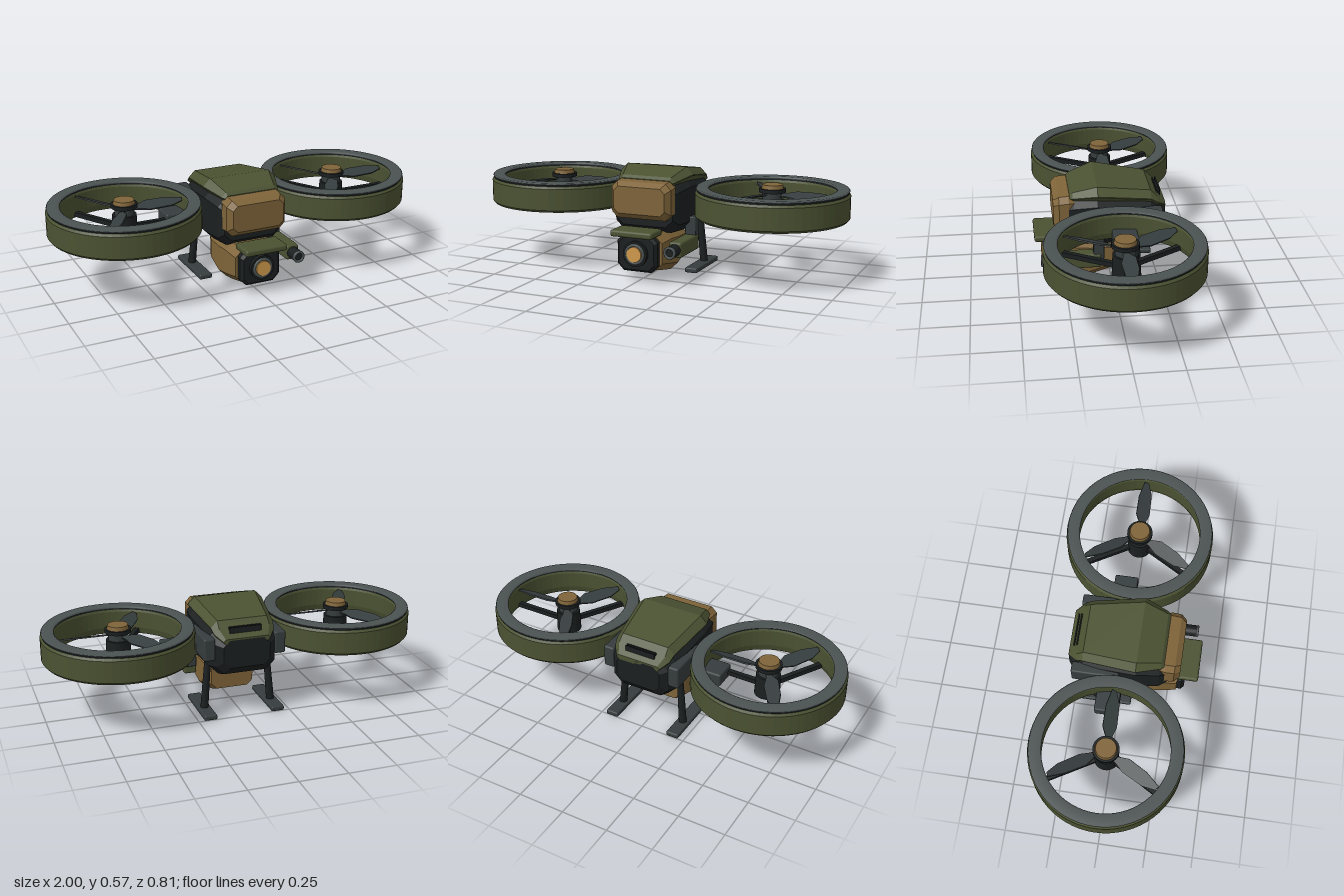
import * as THREE from 'three';
import { RoundedBoxGeometry } from 'three/addons/geometries/RoundedBoxGeometry.js';

const paint = (color, flatShading = false) => new THREE.MeshStandardMaterial({ color, flatShading });
const green = paint(0x4b5232), greenFlat = paint(0x4b5232, true);
const bronze = paint(0x7f6439), bronzeFlat = paint(0x7f6439, true);
const dark = paint(0x1b1f20), darkFlat = paint(0x1b1f20, true);
const grey = paint(0x363d3e), greyFlat = paint(0x363d3e, true);
const lipGrey = paint(0x4b5252), glass = paint(0xd09a4c);

function add(parent, name, geometry, material, x = 0, y = 0, z = 0) {
  const mesh = new THREE.Mesh(geometry, material);
  mesh.name = name;
  mesh.position.set(x, y, z);
  parent.add(mesh);
  return mesh;
}

const rounded = (w, h, d, r = 0.01) => new RoundedBoxGeometry(w, h, d, 2, r);

// Cylinder along z
const barrel = (r, length) => new THREE.CylinderGeometry(r, r, length, 32).rotateX(Math.PI / 2);

// Chamfered shell lofted along z from sections [z, halfWidth, bottom, top, chamfer], back to front
function loft(sections) {
  const pos = [], idx = [], n = 8;
  for (const [z, w, b, t, c] of sections) {
    const ring = [[w - c, b], [w, b + c], [w, t - c], [w - c, t], [c - w, t], [-w, t - c], [-w, b + c], [c - w, b]];
    for (const [x, y] of ring) pos.push(x, y, z);
  }
  const last = (sections.length - 1) * n;
  for (let s = 0; s < last; s += n) {
    for (let i = 0; i < n; i++) {
      const j = (i + 1) % n;
      idx.push(s + i, s + j, s + n + i, s + j, s + n + j, s + n + i);
    }
  }
  for (let i = 1; i < n - 1; i++) idx.push(0, i + 1, i, last, last + i, last + i + 1);
  const indexed = new THREE.BufferGeometry();
  indexed.setAttribute('position', new THREE.Float32BufferAttribute(pos, 3));
  indexed.setIndex(idx);
  const g = indexed.toNonIndexed();
  g.computeVertexNormals();
  return g;
}

// Closed ring turned around y; repeated corners would not be needed with flat profile facets
function turned(points, segments = 64) {
  const pts = points.map(([r, y]) => new THREE.Vector2(r, y));
  pts.push(pts[0].clone());
  return new THREE.LatheGeometry(pts, segments);
}

// Pitched propeller blade pointing along +x
function bladeGeometry() {
  const s = new THREE.Shape();
  s.moveTo(0.03, -0.015);
  s.lineTo(0.08, -0.02);
  s.lineTo(0.13, -0.035);
  s.lineTo(0.25, -0.03);
  s.lineTo(0.315, -0.005);
  s.lineTo(0.32, 0.02);
  s.lineTo(0.23, 0.04);
  s.lineTo(0.12, 0.04);
  s.lineTo(0.07, 0.015);
  s.lineTo(0.03, 0.015);
  const g = new THREE.ExtrudeGeometry(s, { depth: 0.008, bevelEnabled: false });
  return g.rotateX(-Math.PI / 2 + 0.35);
}

function createFan(side) {
  const fan = new THREE.Group();
  fan.name = side > 0 ? 'leftFan' : 'rightFan';
  fan.position.set(side * 0.605, 0, -0.01);

  // Duct and its top lip
  add(fan, 'duct', turned([
    [0.34, 0.325], [0.385, 0.325], [0.395, 0.337], [0.395, 0.45],
    [0.382, 0.468], [0.335, 0.468], [0.328, 0.45], [0.33, 0.36],
  ]), greenFlat);
  add(fan, 'ductSeam', turned([[0.332, 0.46], [0.386, 0.46], [0.386, 0.474], [0.332, 0.474]]), darkFlat);
  add(fan, 'ductLip', turned([
    [0.325, 0.47], [0.388, 0.47], [0.39, 0.475], [0.385, 0.481], [0.33, 0.481], [0.323, 0.476],
  ]), lipGrey);

  // Motor, hub and bronze cap
  add(fan, 'motor', new THREE.CylinderGeometry(0.062, 0.066, 0.12, 32), dark, 0, 0.357);
  add(fan, 'motorCollar', new THREE.CylinderGeometry(0.05, 0.05, 0.06, 32), grey, 0, 0.435);
  add(fan, 'hub', new THREE.CylinderGeometry(0.068, 0.068, 0.02, 32), dark, 0, 0.466);
  add(fan, 'hubCap', new THREE.CylinderGeometry(0.052, 0.057, 0.022, 32), bronze, 0, 0.485);

  // Three blades, each above a support strut
  for (let i = 0; i < 3; i++) {
    const angle = i * Math.PI * 2 / 3;
    add(fan, 'blade', bladeGeometry(), greyFlat, 0, 0.44).rotation.y = angle;
    const strut = new THREE.BoxGeometry(0.3, 0.025, 0.025).translate(0.19, 0, 0);
    add(fan, 'strut', strut, dark, 0, 0.345).rotation.y = angle;
  }
  return fan;
}

function createBody() {
  const body = new THREE.Group();
  body.name = 'body';
  add(body, 'hull', loft([
    [-0.28, 0.125, 0.29, 0.44, 0.035], [-0.25, 0.16, 0.25, 0.46, 0.045], [-0.2, 0.18, 0.237, 0.49, 0.05],
    [0.08, 0.2, 0.237, 0.52, 0.05], [0.2, 0.18, 0.242, 0.5, 0.045], [0.24, 0.16, 0.275, 0.48, 0.04],
  ]), darkFlat);
  add(body, 'topCover', loft([
    [-0.28, 0.125, 0.42, 0.448, 0.012], [-0.235, 0.16, 0.435, 0.49, 0.025], [-0.2, 0.168, 0.45, 0.525, 0.035],
    [0.08, 0.206, 0.49, 0.57, 0.038], [0.205, 0.16, 0.48, 0.53, 0.024], [0.22, 0.145, 0.488, 0.515, 0.012],
  ]), greenFlat);
  add(body, 'facePlate', loft([
    [0.19, 0.155, 0.325, 0.508, 0.03], [0.225, 0.167, 0.317, 0.512, 0.03],
    [0.275, 0.165, 0.317, 0.507, 0.03], [0.305, 0.142, 0.345, 0.485, 0.025],
  ]), bronzeFlat);
  // Rear cooling vents
  for (const z of [-0.24, -0.255]) add(body, 'vent', new THREE.BoxGeometry(0.17, 0.03, 0.006), dark, 0, 0.485, z);
  // Side boxes and fan mounts
  for (const side of [-1, 1]) {
    add(body, 'sideBox', rounded(0.06, 0.12, 0.25), grey, side * 0.19, 0.39, -0.13);
    add(body, 'fanMount', rounded(0.22, 0.07, 0.125), grey, side * 0.275, 0.347, -0.047);
  }
  return body;
}

function createTurret() {
  const turret = new THREE.Group();
  turret.name = 'turret';
  add(turret, 'neck', rounded(0.15, 0.08, 0.2), grey, 0, 0.245, 0.07);
  add(turret, 'turretShell', loft([
    [-0.042, 0.115, 0.08, 0.228, 0.03], [0, 0.13, 0.064, 0.235, 0.035], [0.115, 0.137, 0.028, 0.245, 0.04],
    [0.2, 0.137, 0.043, 0.253, 0.04], [0.295, 0.125, 0.063, 0.238, 0.035],
  ]), bronzeFlat);
  add(turret, 'nose', loft([
    [0.265, 0.1, 0.058, 0.235, 0.03], [0.28, 0.112, 0.052, 0.245, 0.035],
    [0.32, 0.112, 0.052, 0.245, 0.035], [0.336, 0.098, 0.065, 0.232, 0.03],
  ]), darkFlat);
  // Camera lens
  add(turret, 'lensHousing', barrel(0.066, 0.03), dark, 0, 0.15, 0.34);
  add(turret, 'lensRing', new THREE.TorusGeometry(0.047, 0.008, 10, 40), lipGrey, 0, 0.15, 0.355);
  add(turret, 'lens', barrel(0.04, 0.03), glass, 0, 0.15, 0.352);
  add(turret, 'visor', rounded(0.232, 0.034, 0.136, 0.012), green, 0, 0.26, 0.337);
  return turret;
}

// Side-mounted sensor tube with its bracket
function createSidePod() {
  const pod = new THREE.Group();
  pod.name = 'sidePod';
  add(pod, 'podBracket', rounded(0.06, 0.13, 0.055, 0.006), grey, 0.2, 0.25, 0.078);
  add(pod, 'podHousing', rounded(0.07, 0.08, 0.24, 0.012), green, 0.2, 0.18, 0.185);
  add(pod, 'podBarrel', barrel(0.031, 0.09), dark, 0.2, 0.18, 0.325);
  add(pod, 'podTip', new THREE.TorusGeometry(0.026, 0.007, 10, 32), lipGrey, 0.2, 0.18, 0.371);
  return pod;
}

function createLeg(side) {
  const leg = new THREE.Group();
  leg.name = side > 0 ? 'leftLeg' : 'rightLeg';
  const top = new THREE.Vector3(side * 0.162, 0.29, -0.124);
  const foot = new THREE.Vector3(side * 0.185, 0.02, -0.132);
  const dir = top.clone().sub(foot);
  const post = add(leg, 'legPost', new THREE.CylinderGeometry(0.017, 0.021, dir.length(), 16), dark);
  post.position.copy(foot).add(top).multiplyScalar(0.5);
  post.quaternion.setFromUnitVectors(new THREE.Vector3(0, 1, 0), dir.normalize());
  add(leg, 'skid', rounded(0.07, 0.027, 0.312, 0.008), grey, side * 0.185, 0.0135, -0.097);
  return leg;
}

export function createModel() {
  const model = new THREE.Group();
  model.name = 'ductedFanDrone';
  model.add(createBody(), createTurret(), createSidePod());
  for (const side of [-1, 1]) model.add(createFan(side), createLeg(side));
  return model;
}
